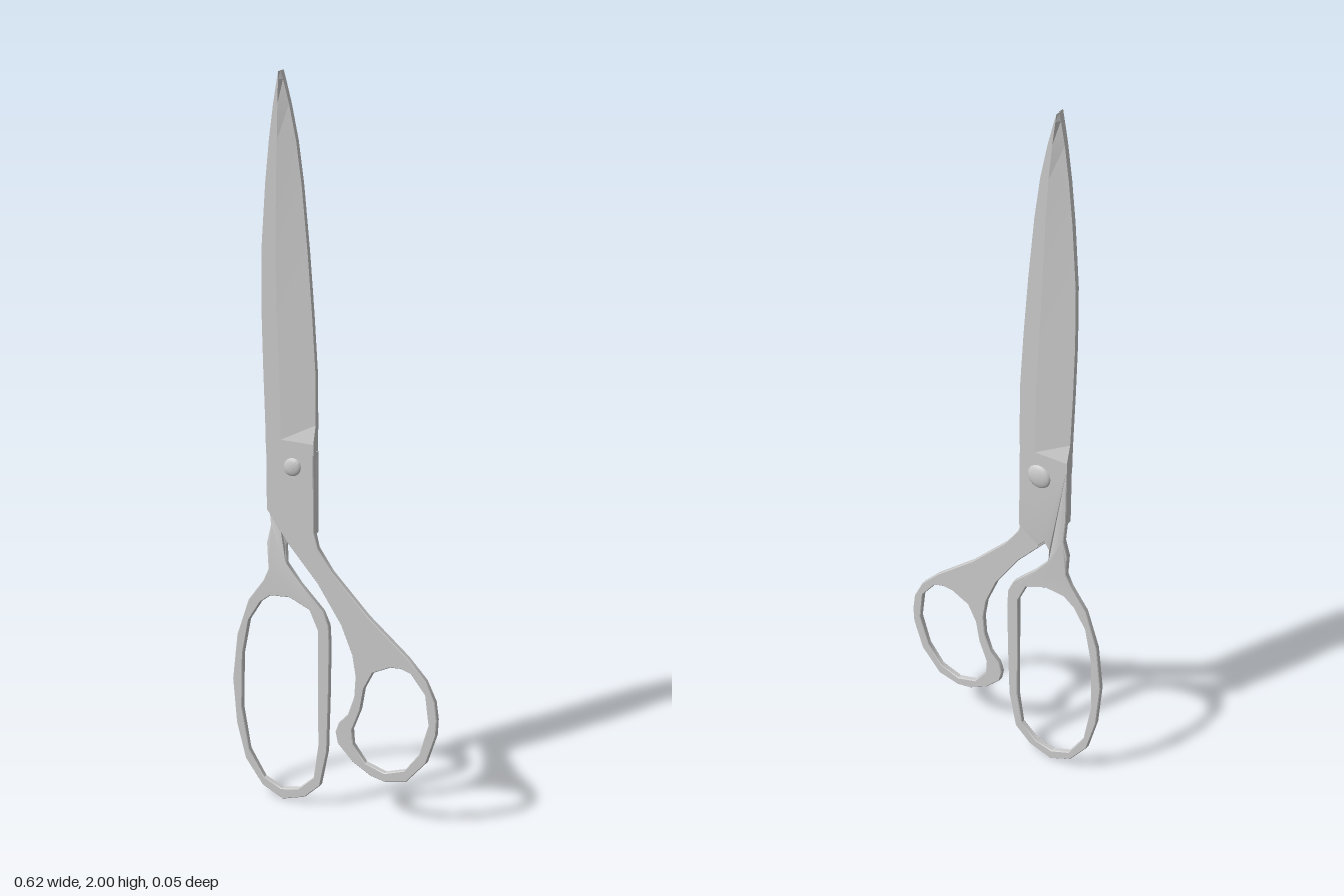
import * as THREE from 'three';
import { toCreasedNormals } from 'three/addons/utils/BufferGeometryUtils.js';

const T = 0.016; // thickness of one blade
const steel = new THREE.MeshStandardMaterial({ color: 0xcccccc, side: THREE.DoubleSide });
const vecs = (pts) => pts.map(([x, y]) => new THREE.Vector2(x, y));

function add(parent, name, geometry) {
  const mesh = new THREE.Mesh(geometry, steel);
  mesh.name = name;
  parent.add(mesh);
  return mesh;
}

// Flat plate with a finger hole and softened edges, z from 0 to T
function plate(outline, hole) {
  const shape = new THREE.Shape(vecs(outline));
  shape.holes.push(new THREE.Path(vecs(hole)));
  const b = 0.002;
  const g = new THREE.ExtrudeGeometry(shape, {
    depth: T - 2 * b, bevelThickness: b, bevelSize: b, bevelOffset: -b, bevelSegments: 1,
  });
  return g.translate(0, 0, b);
}

// Blade rows: y, left x, right x, thickness at the cutting edge
const bladeRows = [
  [1.02, -0.197, -0.056, T], [1.05, -0.197, -0.056, T], [1.1, -0.198, -0.055, 0.004],
  [1.24, -0.202, -0.056, 0.003], [1.39, -0.205, -0.065, 0.003], [1.55, -0.203, -0.077, 0.003],
  [1.72, -0.19, -0.093, 0.003], [1.83, -0.178, -0.108, 0.003], [1.92, -0.165, -0.127, 0.003],
  [1.98, -0.154, -0.143, 0.004], [2.0, -0.15, -0.149, 0.006],
];

// Hollow-ground blade; side 1 is the front blade, side -1 the back one
function blade(side) {
  const pos = [], index = [];
  bladeRows.forEach(([y, left, right, edge]) => {
    const [spine, cut] = side > 0 ? [left, right] : [right, left];
    const ridge = spine + (cut - spine) * 0.32;
    [[spine, 0], [cut, 0], [cut, edge], [ridge, T], [spine, T]]
      .forEach(([x, z]) => pos.push(x, y, z * side));
  });
  for (let r = 0; r < bladeRows.length - 1; r++) {
    for (let i = 0; i < 5; i++) {
      const a = r * 5 + i, b = r * 5 + (i + 1) % 5;
      index.push(b, a, a + 5, b, a + 5, b + 5);
    }
  }
  const last = (bladeRows.length - 1) * 5;
  for (let i = 1; i < 4; i++) index.push(last, last + i + 1, last + i);
  const g = new THREE.BufferGeometry();
  g.setAttribute('position', new THREE.Float32BufferAttribute(pos, 3));
  g.setIndex(index);
  return toCreasedNormals(g, 0.12);
}

// Shallow dome along +y, optionally only half a turn
function dome(radius, height, angle) {
  const profile = [];
  for (let i = 0; i <= 6; i++) {
    const a = (i / 6) * Math.PI / 2;
    profile.push(new THREE.Vector2(radius * Math.cos(a), height * Math.sin(a)));
  }
  return new THREE.LatheGeometry(profile, 24, 0, angle);
}

export function createModel() {
  const model = new THREE.Group();
  model.name = 'scissors';

  // Front half: blade, crossing tang and thumb loop
  const front = new THREE.Group();
  front.name = 'frontHalf';
  model.add(front);
  add(front, 'frontBlade', blade(1));
  add(front, 'thumbHandle', toCreasedNormals(plate([
    [-0.197, 1.025], [-0.197, 0.85], [-0.135, 0.765], [-0.045, 0.665], [0.025, 0.56], [0.058, 0.48],
    [0.068, 0.42], [0.064, 0.36], [0.045, 0.305], [0.018, 0.275], [0.008, 0.245], [0.015, 0.212],
    [0.06, 0.167], [0.114, 0.138], [0.156, 0.13], [0.22, 0.145], [0.278, 0.214], [0.305, 0.3],
    [0.307, 0.345], [0.3, 0.395], [0.273, 0.45], [0.22, 0.505], [0.103, 0.6], [-0.003, 0.706],
    [-0.045, 0.765], [-0.056, 0.81], [-0.056, 1.025],
  ], [
    [0.17, 0.468], [0.2, 0.471], [0.23, 0.463], [0.272, 0.41], [0.283, 0.325], [0.257, 0.235],
    [0.214, 0.177], [0.156, 0.156], [0.098, 0.172], [0.061, 0.22], [0.058, 0.262], [0.082, 0.325],
    [0.093, 0.39], [0.119, 0.442],
  ]), 0.6));

  // Back half: blade and large finger loop, the neck stepping forward
  const back = new THREE.Group();
  back.name = 'backHalf';
  model.add(back);
  add(back, 'backBlade', blade(-1)).position.x = -0.003;
  const loop = plate([
    [-0.2, 1.025], [-0.2, 0.87], [-0.194, 0.8], [-0.204, 0.75], [-0.198, 0.715], [-0.194, 0.68],
    [-0.21, 0.645], [-0.257, 0.58], [-0.294, 0.47], [-0.31, 0.335], [-0.3, 0.205], [-0.273, 0.1],
    [-0.22, 0.03], [-0.156, 0.002], [-0.087, 0.025], [-0.04, 0.07], [-0.018, 0.18], [-0.013, 0.335],
    [-0.01, 0.495], [-0.013, 0.55], [-0.03, 0.588], [-0.098, 0.655], [-0.14, 0.705], [-0.147, 0.75],
    [-0.135, 0.775], [-0.115, 0.752], [-0.057, 0.8], [-0.057, 1.025],
  ], [
    [-0.13, 0.61], [-0.07, 0.585], [-0.045, 0.53], [-0.045, 0.335], [-0.045, 0.19], [-0.06, 0.09],
    [-0.108, 0.045], [-0.16, 0.033], [-0.215, 0.055], [-0.262, 0.13], [-0.283, 0.255],
    [-0.278, 0.415], [-0.257, 0.52], [-0.22, 0.58], [-0.188, 0.605],
  ]);
  const p = loop.attributes.position;
  for (let i = 0; i < p.count; i++) {
    p.setZ(i, p.getZ(i) - T * THREE.MathUtils.smoothstep(p.getY(i), 0.68, 0.79));
  }
  add(back, 'fingerHandle', toCreasedNormals(loop, 0.6));

  // Pivot: slotted screw head in front, domed rivet behind
  const pivot = new THREE.Group();
  pivot.name = 'pivot';
  pivot.position.set(-0.118, 0.98, 0);
  model.add(pivot);
  const rivet = add(pivot, 'rivetHead', dome(0.034, 0.012, Math.PI * 2));
  rivet.rotation.x = -Math.PI / 2;
  rivet.position.z = -T;
  const wall = new THREE.Shape();
  wall.absellipse(0, 0, 0.027, 0.009, 0, Math.PI);
  for (const turn of [0, Math.PI]) {
    const half = new THREE.Group();
    half.name = 'screwHeadHalf';
    half.position.z = T;
    half.rotation.z = Math.PI / 4 + turn;
    pivot.add(half);
    const cap = add(half, 'screwDome', dome(0.027, 0.009, Math.PI));
    cap.rotation.set(Math.PI / 2, Math.PI / 2, 0, 'XYZ');
    cap.geometry.rotateY(-Math.PI);
    cap.position.y = 0.003;
    const side = add(half, 'screwSlotWall', new THREE.ShapeGeometry(wall, 12));
    side.rotation.x = Math.PI / 2;
    side.position.y = 0.003;
  }
  return model;
}
